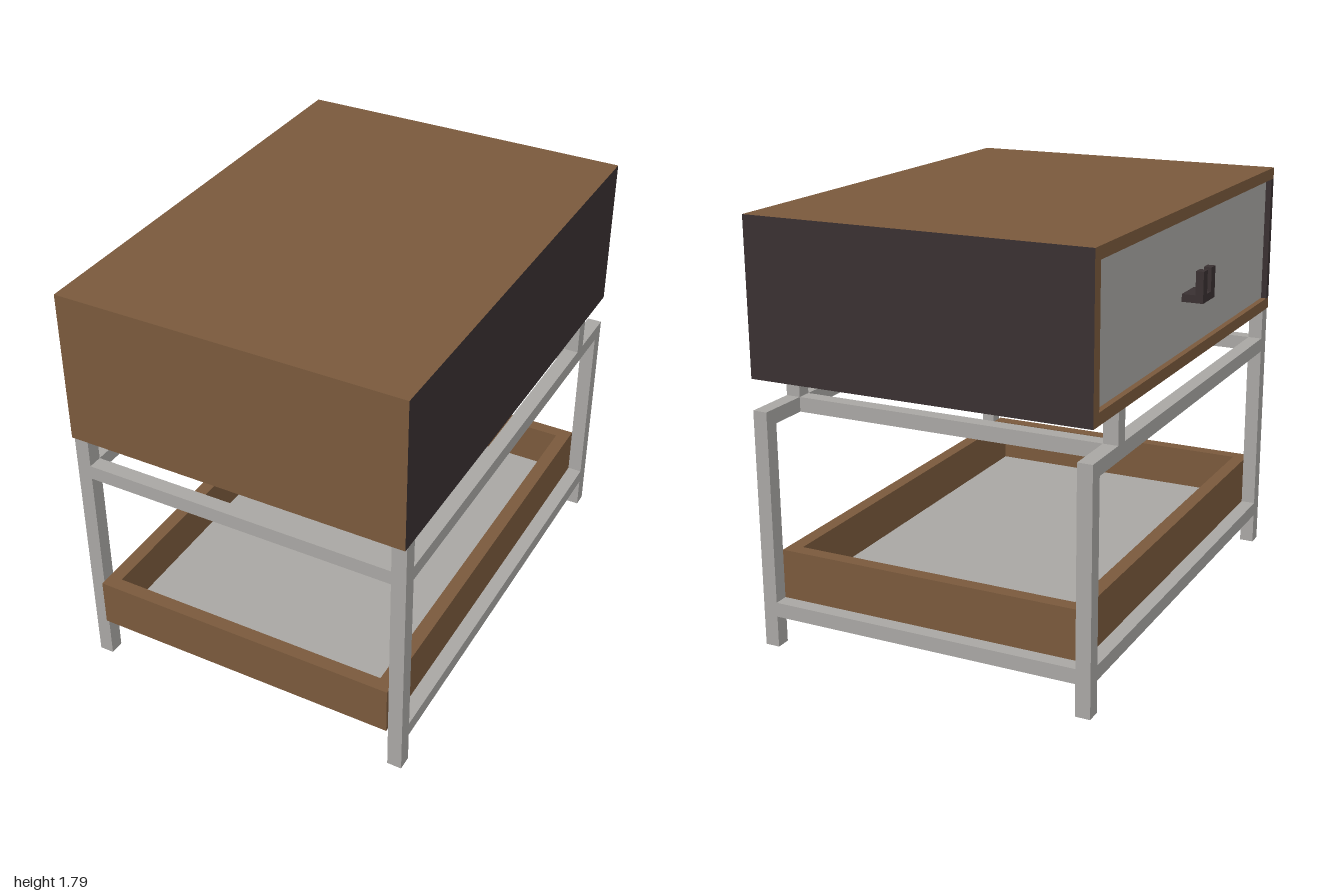
import * as THREE from 'three';

const mat = (name, color) => {
  const m = new THREE.MeshStandardMaterial({ color });
  m.name = name;
  return m;
};

export function createModel() {
  const brown = mat('walnut brown', 0x7a593c);
  const dark = mat('dark charcoal', 0x393031);
  const grey = mat('steel grey', 0xa8a6a3);
  const root = new THREE.Group();
  root.name = 'sideTable';

  const group = (name) => {
    const g = new THREE.Group();
    g.name = name;
    root.add(g);
    return g;
  };
  // box given by its limits on each axis
  const block = (parent, name, [x0, x1], [y0, y1], [z0, z1], material) => {
    const m = new THREE.Mesh(new THREE.BoxGeometry(x1 - x0, y1 - y0, z1 - z0), material);
    m.position.set((x0 + x1) / 2, (y0 + y1) / 2, (z0 + z1) / 2);
    m.name = name;
    parent.add(m);
  };

  const L = -0.70, R = 0.76, T = 0.062;

  // Steel frame: legs, stubs and side rails on both sides
  const frame = group('frame');
  for (const [side, x] of [['right', [L, L + T]], ['left', [R - T, R]]]) {
    block(frame, side + 'FrontLeg', x, [0, 1.14], [0.923, 0.985], grey);
    block(frame, side + 'BackLeg', x, [0, 1.01], [-1, -0.938], grey);
    block(frame, side + 'BackSupport', x, [1.01, 1.14], [-0.77, -0.708], grey);
    block(frame, side + 'UpperRail', x, [0.948, 1.01], [-0.938, 0.923], grey);
    block(frame, side + 'LowerRail', x, [0.135, 0.197], [-0.938, 0.923], grey);
  }
  // Cross rails
  const across = [L + T, R - T];
  block(frame, 'frontUpperCrossRail', across, [0.948, 1.01], [0.923, 0.985], grey);
  block(frame, 'backUpperCrossRail', across, [0.948, 1.01], [-0.77, -0.708], grey);
  block(frame, 'backLowerCrossRail', across, [0.135, 0.197], [-1, -0.938], grey);

  // Open tray between the legs
  const tray = group('tray');
  const [tx0, tx1] = across, W = 0.058, tb = 0.197, tt = 0.407, z0 = -0.938;
  block(tray, 'trayBase', across, [tb, 0.217], [z0, 1], brown);
  block(tray, 'trayFloor', [tx0 + W, tx1 - W], [0.217, 0.223], [z0 + W, 1 - W], grey);
  block(tray, 'trayFrontWall', across, [0.217, tt], [1 - W, 1], brown);
  block(tray, 'trayBackWall', across, [0.217, tt], [z0, z0 + W], brown);
  block(tray, 'trayRightWall', [tx0, tx0 + W], [0.217, tt], [z0 + W, 1 - W], brown);
  block(tray, 'trayLeftWall', [tx1 - W, tx1], [0.217, tt], [z0 + W, 1 - W], brown);

  // Cabinet: brown top, front and opening edges; dark sides, back and underside
  // material order: +x, -x, +y, -y, +z, -z
  const cabinet = group('cabinet');
  const cb = 1.14, ct = 1.79, P = 0.05;
  block(cabinet, 'cabinetTop', [L, R], [ct - P, ct], [-1, 1], [dark, brown, brown, dark, brown, dark]);
  block(cabinet, 'cabinetBottom', [L, R], [cb, cb + P], [-1, 1], [dark, brown, brown, dark, brown, dark]);
  block(cabinet, 'cabinetFront', [L, R], [cb + P, ct - P], [0.97, 1], [dark, dark, brown, dark, brown, dark]);
  block(cabinet, 'cabinetBack', [L, R], [cb + P, ct - P], [-1, -0.95], [dark, brown, brown, dark, brown, dark]);
  block(cabinet, 'cabinetSide', [R - P, R], [cb + P, ct - P], [-0.95, 0.97], dark);

  // Drawer face, slightly set back in the opening
  const drawer = group('drawer');
  block(drawer, 'drawerFace', [L + 0.025, L + 0.075], [cb + P, ct - P], [-0.95, 0.97], grey);

  // Hooked handle: a ledge with two upright prongs
  block(drawer, 'handleLedge', [-0.765, L + 0.025], [1.4, 1.432], [-0.08, 0.055], dark);
  for (const z of [-0.08, 0.01])
    block(drawer, 'handleProng', [-0.765, -0.732], [1.432, 1.53], [z, z + 0.045], dark);

  return root;
}
